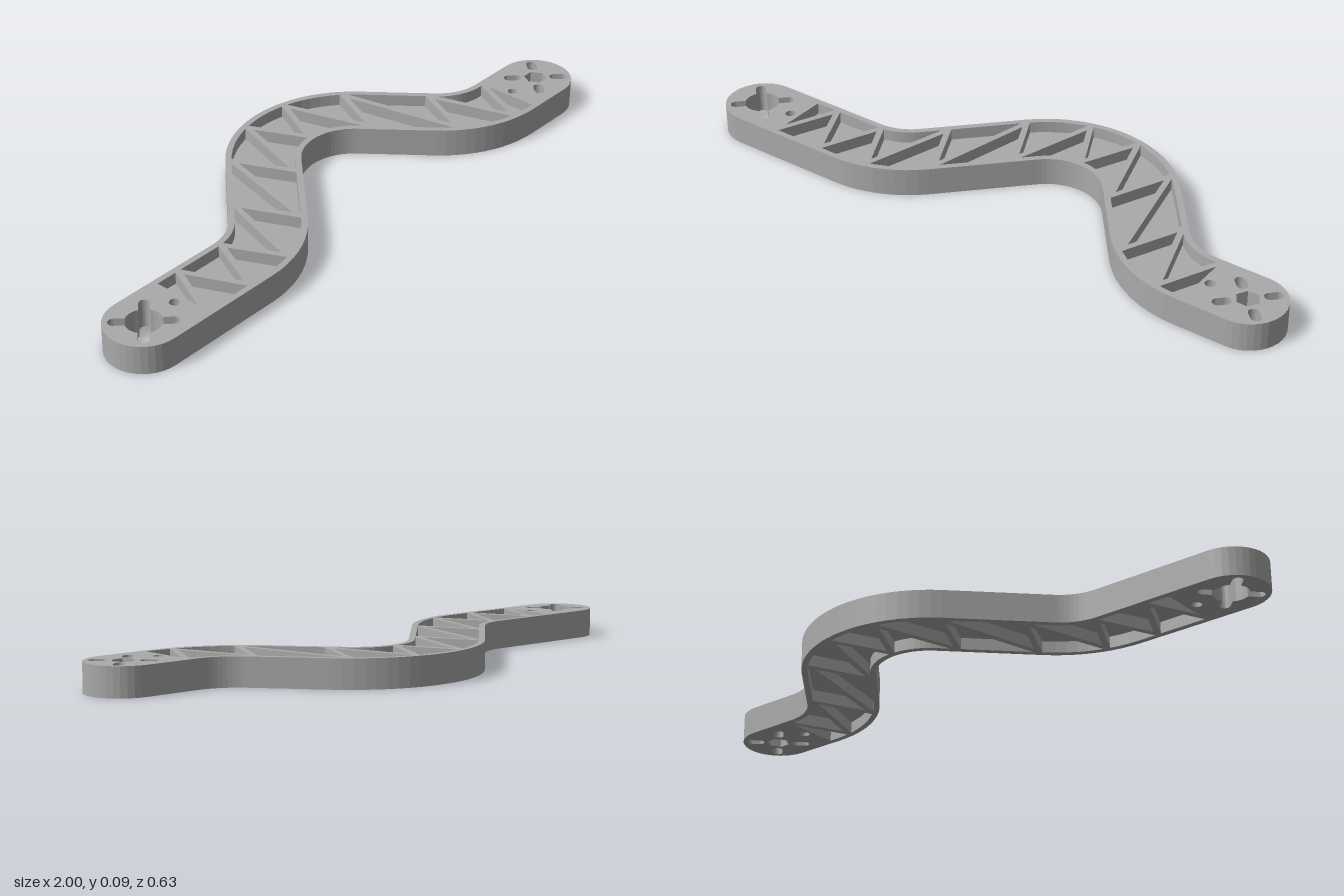
import * as THREE from 'three';

const HEIGHT = 0.09, WEB = 0.016;
const HALF = 0.115;           // half width of the arm
const POCKET = 0.096;         // half width of the pocketed band
const STRUT = 0.0095;         // half width of a strut
const END = 0.885, BASE = -0.198;
const BEND = 0.28;            // centreline bend radius
const V = (x, y) => new THREE.Vector2(x, y);

// Centreline walked as straights and bends; each station keeps its heading
function centreline() {
  const pts = [];
  let x = -END, y = BASE, a = 0;
  const put = () => pts.push({ x, y, a });
  const straight = (l) => { x += l * Math.cos(a); y += l * Math.sin(a); put(); };
  const bend = (deg) => {
    const n = Math.ceil(Math.abs(deg) / 5), d = THREE.MathUtils.degToRad(deg) / n;
    for (let i = 0; i < n; i++) {
      const s = Math.sign(d) * BEND;
      x += s * (Math.sin(a + d) - Math.sin(a));
      y -= s * (Math.cos(a + d) - Math.cos(a));
      a += d;
      put();
    }
  };
  put();
  straight(0.385); bend(45); straight(0.33); bend(-96.2);
  straight(0.2418); bend(51.2); straight(0.168);
  return pts;
}

const line = centreline();
const offset = (d) => line.map((p) => V(p.x - d * Math.sin(p.a), p.y + d * Math.cos(p.a)));

function arc(cx, cy, r, from, to, n) {
  return Array.from({ length: n + 1 }, (_, i) => {
    const t = from + (to - from) * i / n;
    return V(cx + r * Math.cos(t), cy + r * Math.sin(t));
  });
}

// Height of an edge at x
function heightAt(edge, x) {
  const i = Math.max(1, edge.findIndex((p) => p.x >= x));
  const p = edge[i - 1], q = edge[i];
  return p.y + (q.y - p.y) * (x - p.x) / (q.x - p.x);
}

function between(edge, x0, x1) {
  return [V(x0, heightAt(edge, x0)),
    ...edge.filter((p) => p.x > x0 + 1e-4 && p.x < x1 - 1e-4),
    V(x1, heightAt(edge, x1))];
}

function bandPolygon(half, x0, x1) {
  return [...between(offset(-half), x0, x1), ...between(offset(half), x0, x1).reverse()];
}

// Keep the part of a polygon on one side (+1 right, -1 left) of a strut
function clip(poly, a, b, side) {
  const [lo, hi] = a.y < b.y ? [a, b] : [b, a];
  const d = hi.clone().sub(lo).normalize();
  const dist = (p) => side * ((p.x - lo.x) * d.y - (p.y - lo.y) * d.x) - STRUT;
  const out = [];
  poly.forEach((p, i) => {
    const q = poly[(i + 1) % poly.length], dp = dist(p), dq = dist(q);
    if (dp >= 0) out.push(p);
    if (dp * dq < 0) out.push(p.clone().lerp(q, dp / (dp - dq)));
  });
  return out;
}

// Triangular pockets between the zigzag struts
function pockets() {
  const edges = [offset(-POCKET), offset(POCKET)];
  const nodes = Array.from({ length: 18 }, (_, k) => {
    const x = -0.744 + 0.087 * k;
    return V(x, heightAt(edges[k % 2], x));
  });
  return nodes.map((n, k) => {
    const x0 = k > 0 ? Math.max(nodes[k - 1].x, -0.737) : -0.737;
    const x1 = k < 17 ? Math.min(nodes[k + 1].x, 0.737) : 0.737;
    let poly = bandPolygon(POCKET, x0, x1);
    if (k > 0) poly = clip(poly, nodes[k - 1], n, 1);
    if (k < 17) poly = clip(poly, n, nodes[k + 1], -1);
    return poly;
  });
}

// Round opening with four diagonal slots joined to it
function crossHole(cx) {
  const r = 0.054, w = 0.016, reach = 0.083, half = Math.asin(w / r), pts = [];
  for (let i = 0; i < 4; i++) {
    const t = Math.PI / 4 + i * Math.PI / 2;
    pts.push(...arc(cx + reach * Math.cos(t), BASE + reach * Math.sin(t), w,
      t - Math.PI / 2, t + Math.PI / 2, 8));
    pts.push(...arc(cx, BASE, r, t + half, t + Math.PI / 2 - half, 5));
  }
  return pts;
}

// Separate diagonal slot
function slot(cx, t) {
  const at = (d, from) => arc(cx + d * Math.cos(t), BASE + d * Math.sin(t), 0.016,
    from, from + Math.PI, 8);
  return [...at(0.086, t - Math.PI / 2), ...at(0.062, t + Math.PI / 2)];
}

const circle = (cx, r, n) => arc(cx, BASE, r, 0, Math.PI * 2, n).slice(0, -1);

function extrude(outline, holes, depth, y) {
  const shape = new THREE.Shape(outline);
  shape.holes = holes.map((h) => new THREE.Path(h));
  const geo = new THREE.ExtrudeGeometry(shape, { depth, bevelEnabled: false });
  return geo.rotateX(-Math.PI / 2).translate(0, y, 0);
}

export function createModel() {
  const group = new THREE.Group();
  group.name = 'curvedArm';
  const grey = new THREE.MeshStandardMaterial({ color: 0xaaaaaa });
  grey.name = 'grey';
  const add = (name, geo) => {
    const mesh = new THREE.Mesh(geo, grey);
    mesh.name = name;
    group.add(mesh);
  };

  // Arm outline with rounded ends
  const q = Math.PI / 2;
  const outline = [
    ...offset(-HALF),
    ...arc(END, line.at(-1).y, HALF, -q, q, 18).slice(1, -1),
    ...offset(HALF).reverse(),
    ...arc(-END, BASE, HALF, q, 3 * q, 18).slice(1, -1),
  ];

  // Mounting holes at both ends
  const holes = [crossHole(-END), circle(-0.768, 0.016, 16),
    circle(0.764, 0.016, 16), circle(END, 0.036, 6)];
  for (let i = 0; i < 4; i++) holes.push(slot(END, q / 2 + i * q));

  // Frame with struts, closed by a thin web halfway up
  add('frame', extrude(outline, [...holes, ...pockets()], HEIGHT, 0));
  add('web', extrude(bandPolygon(0.1, -0.741, 0.741), [], WEB, (HEIGHT - WEB) / 2));
  return group;
}
